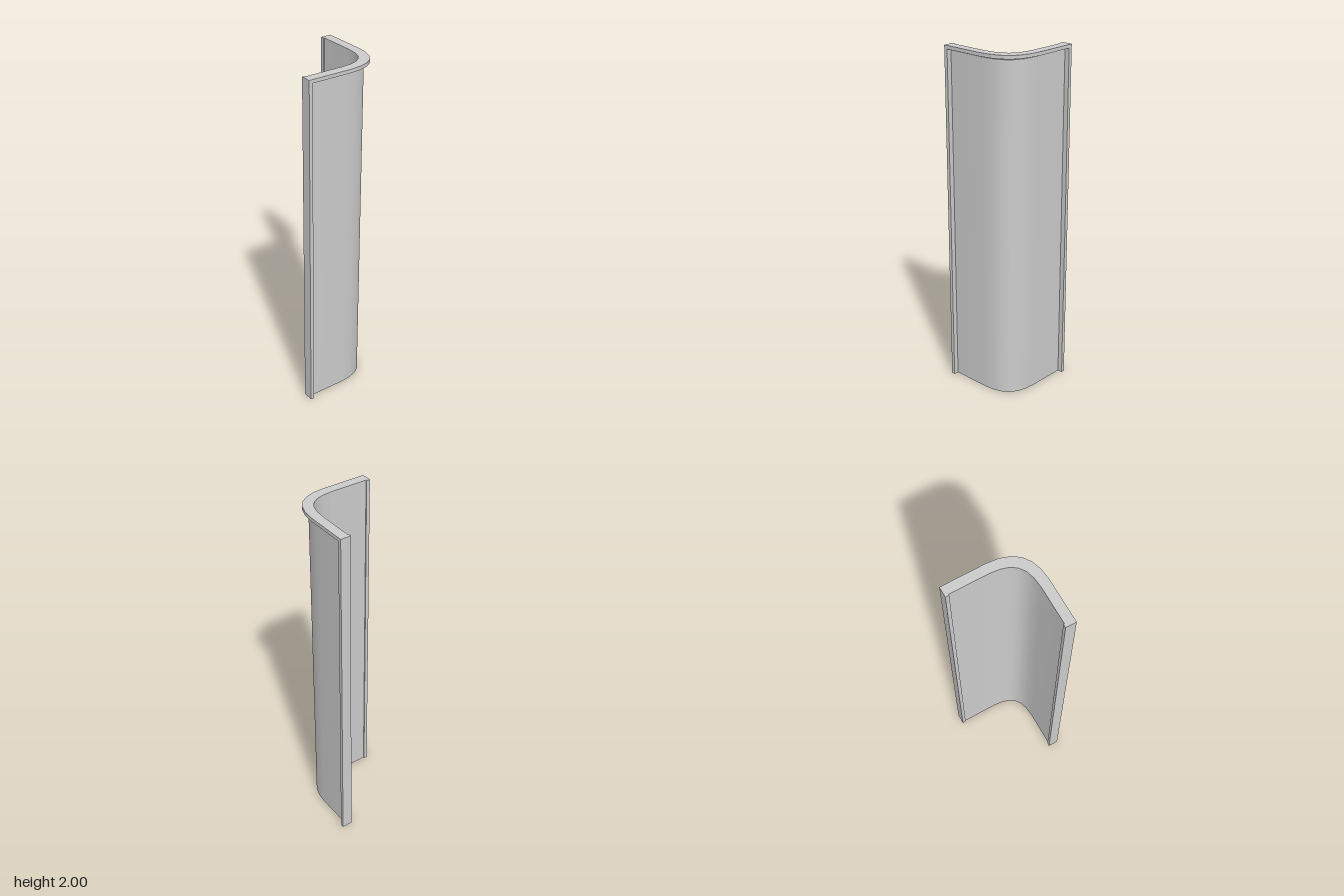
import * as THREE from 'three';
import { toCreasedNormals } from 'three/addons/utils/BufferGeometryUtils.js';

const END = -0.218, EDGE = -0.239, HEIGHT = 2;

// Plan curves as [x, z] up to the corner's diagonal; the second half swaps x and z
const mirrorCurve = (half) => [...half, ...half.slice(0, -1).reverse().map(([x, z]) => [z, x])];
const INNER = mirrorCurve([[END, 0.184], [0, 0.184], [0.06, 0.178], [0.106, 0.164], [0.14, 0.14]]);
const OUTER = mirrorCurve([[END, 0.239], [0.02, 0.239], [0.085, 0.232], [0.14, 0.213], [0.183, 0.183]]);

// Sweeps a four-corner profile of [depth, y] round the corner (depth 0 = inner curve, 1 = outer)
function sweepCorner(profile) {
  const positions = [], index = [];
  const n = profile.length, last = INNER.length - 1;
  INNER.forEach(([xi, zi], i) => {
    const [xo, zo] = OUTER[i];
    for (const [t, y] of profile) positions.push(xi + (xo - xi) * t, y, zi + (zo - zi) * t);
  });
  for (let i = 0; i < last; i++) {
    for (let j = 0; j < n; j++) {
      const k = (j + 1) % n;
      const a = i * n + j, b = a + n, c = (i + 1) * n + k, d = i * n + k;
      index.push(a, b, c, a, c, d);
    }
  }
  // End caps
  const e = last * n;
  index.push(0, 1, 2, 0, 2, 3, e, e + 2, e + 1, e, e + 3, e + 2);
  const geometry = new THREE.BufferGeometry();
  geometry.setAttribute('position', new THREE.Float32BufferAttribute(positions, 3));
  geometry.setIndex(index);
  return toCreasedNormals(geometry, 0.5);
}

export function createModel() {
  const group = new THREE.Group();
  const material = new THREE.MeshStandardMaterial({ color: 0xcccccc });
  const add = (name, geometry) => {
    const mesh = new THREE.Mesh(geometry, material);
    mesh.name = name;
    group.add(mesh);
    return mesh;
  };

  // Thin curved panel, recessed behind the frame
  add('curvedPanel', sweepCorner([[0, 0], [0.48, 0], [0.48, 1.97], [0, 1.97]]));

  // Overhanging top rim with a slightly sloped underside
  add('topRim', sweepCorner([[0, 1.97], [0.48, 1.97], [1, 1.98], [1, HEIGHT], [0, HEIGHT]].filter((p, i) => i !== 1)));

  // Upright posts closing both ends, a little proud of the inner face
  const width = END - EDGE, depth = 0.061;
  const along = (END + EDGE) / 2, across = 0.239 - depth / 2;
  add('rightPost', new THREE.BoxGeometry(width, HEIGHT, depth)).position.set(along, HEIGHT / 2, across);
  add('backPost', new THREE.BoxGeometry(depth, HEIGHT, width)).position.set(across, HEIGHT / 2, along);

  return group;
}
